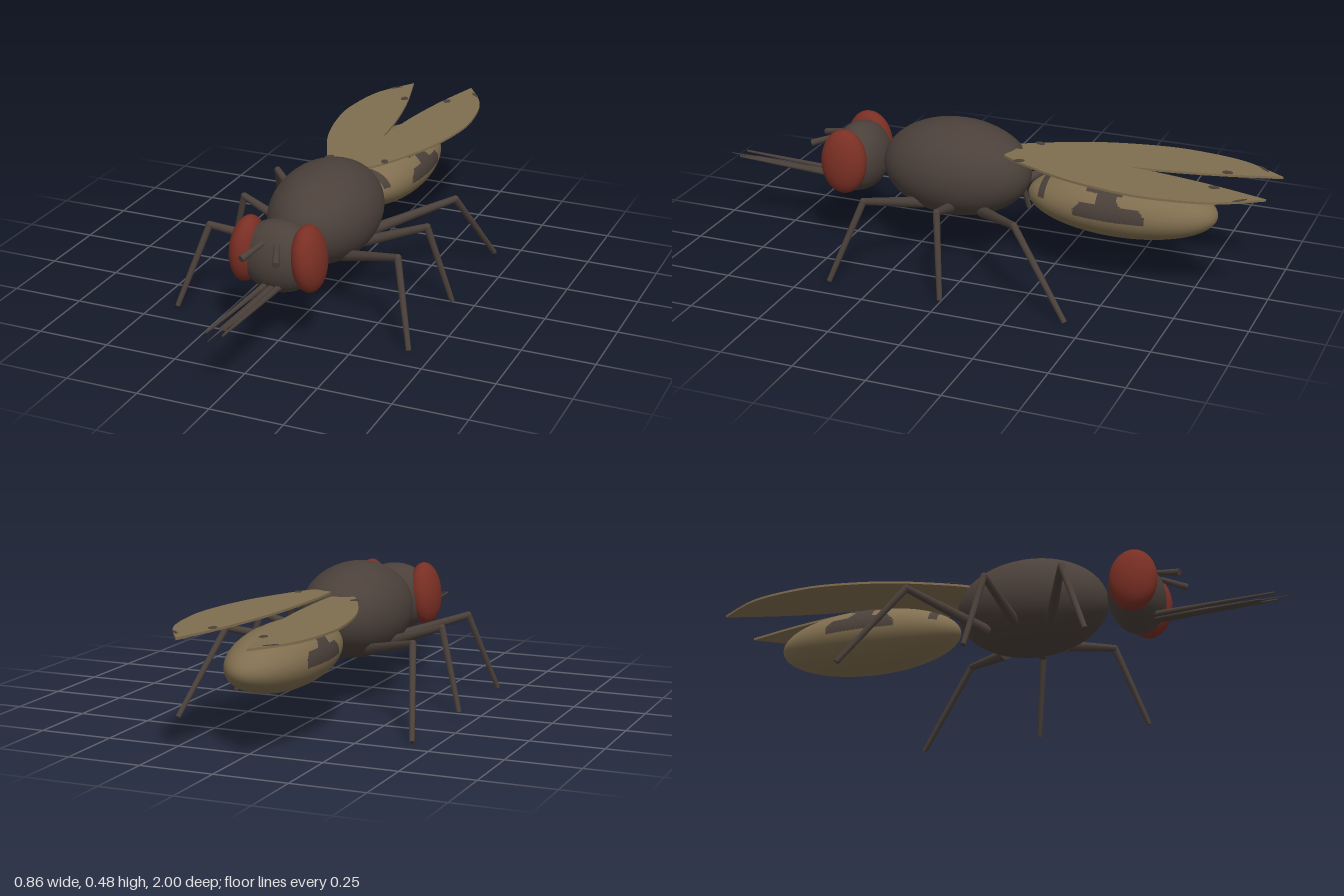
import * as THREE from 'three';

const mat = (name, color, side = THREE.FrontSide) => {
  const m = new THREE.MeshStandardMaterial({ color, side });
  m.name = name;
  return m;
};

export function createModel() {
  const fly = new THREE.Group();
  fly.name = 'fly';
  const dark = mat('dark brown', 0x4b403a);
  const red = mat('eye red', 0x7a2f24);
  const tan = mat('amber tan', 0x806e4f);

  const add = (name, geometry, material, parent = fly) => {
    const mesh = new THREE.Mesh(geometry, material);
    mesh.name = name;
    parent.add(mesh);
    return mesh;
  };
  const ellipsoid = (name, material, pos, radii, w = 40, h = 28) => {
    const g = new THREE.SphereGeometry(1, w, h).rotateX(Math.PI / 2);
    const mesh = add(name, g.scale(...radii), material);
    mesh.position.set(...pos);
    return mesh;
  };
  // Tapered rod between two points
  const rod = (name, a, b, ra, rb, parent = fly, sides = 10) => {
    const p = new THREE.Vector3(...a), q = new THREE.Vector3(...b);
    const d = q.clone().sub(p);
    const mesh = add(name, new THREE.CylinderGeometry(rb, ra, d.length(), sides), dark, parent);
    mesh.position.copy(p).add(q).multiplyScalar(0.5);
    mesh.quaternion.setFromUnitVectors(new THREE.Vector3(0, 1, 0), d.normalize());
    return mesh;
  };

  // Body
  ellipsoid('thorax', dark, [0, 0.312, 0.11], [0.183, 0.167, 0.265]);
  ellipsoid('head', dark, [0, 0.297, 0.478], [0.14, 0.122, 0.097]);
  const abdomen = ellipsoid('abdomen', [tan, dark], [0, 0.265, -0.485], [0.145, 0.107, 0.33], 160, 120);

  // Abdomen side markings: faces sorted into two colour groups
  const inPatch = (a, y) =>
    (a > 0.355 && a < 0.605 && y > 0.255 && y < 0.305 - Math.max(0, Math.abs(a - 0.48) - 0.1)) ||
    (a > 0.435 && a < 0.505 + Math.max(0, 0.32 - y) && y > 0.3 && y < 0.35) ||
    (a > 0.39 && a < 0.52 && y > 0.335 && y < 0.362) ||
    (a > 0.213 && a < 0.24 && y > 0.28 && y < 0.335);
  const g = abdomen.geometry, pos = g.attributes.position, idx = g.index.array;
  const plain = [], marked = [];
  for (let i = 0; i < idx.length; i += 3) {
    const t = [idx[i], idx[i + 1], idx[i + 2]];
    const y = t.reduce((s, v) => s + pos.getY(v), 0) / 3 + 0.265;
    const z = t.reduce((s, v) => s + pos.getZ(v), 0) / 3 - 0.485;
    (inPatch(-z, y) ? marked : plain).push(...t);
  }
  g.setIndex([...plain, ...marked]);
  g.addGroup(0, plain.length, 0);
  g.addGroup(plain.length, marked.length, 1);

  // Right half of the wing outline, in x and -z
  const wingShape = new THREE.Shape();
  wingShape.moveTo(0.005, 0.09);
  wingShape.lineTo(0.075, 0.09);
  wingShape.splineThru([[0.12, 0.17], [0.195, 0.35], [0.235, 0.54], [0.238, 0.68], [0.205, 0.85], [0.118, 1]]
    .map(p => new THREE.Vector2(...p)));
  wingShape.splineThru([[0.065, 0.8], [0.028, 0.6], [0.008, 0.4], [0.001, 0.2], [0.005, 0.09]]
    .map(p => new THREE.Vector2(...p)));
  const flat = (shape, depth) =>
    new THREE.ExtrudeGeometry(shape, { depth, bevelEnabled: false, curveSegments: 24 }).rotateX(-Math.PI / 2);
  const mirrorX = geo => {
    geo.scale(-1, 1, 1);
    const p = geo.attributes.position;
    // Swap two corners of each triangle to keep the faces outward
    for (const attr of [p, geo.attributes.normal]) {
      for (let i = 0; i < attr.count; i += 3) {
        const b = [attr.getX(i + 1), attr.getY(i + 1), attr.getZ(i + 1)];
        attr.setXYZ(i + 1, attr.getX(i + 2), attr.getY(i + 2), attr.getZ(i + 2));
        attr.setXYZ(i + 2, ...b);
      }
    }
    return geo;
  };

  for (const [s, side] of [[1, 'left'], [-1, 'right']]) {
    // Wings with small dark spots
    const wing = new THREE.Group();
    wing.name = side + 'Wing';
    wing.position.y = s > 0 ? 0.4 : 0.386;
    fly.add(wing);
    const put = (name, shape, depth, m, y) => {
      const geo = flat(shape, depth);
      add(name, s < 0 ? mirrorX(geo) : geo, m, wing).position.y = y;
    };
    put('wingBlade', wingShape, 0.008, tan, 0);
    for (const [x, z, rx, rz, turn] of [[0.086, 0.82, 0.013, 0.018, 0], [0.104, 0.155, 0.012, 0.018, 0.4],
      [0.16, 0.925, 0.005, 0.026, 0.75]]) {
      const spot = new THREE.Shape();
      spot.absellipse(x, z, rx, rz, 0, Math.PI * 2, false, turn);
      put('wingSpot', spot, 0.002, dark, 0.0075);
    }

    // Eyes and antennae
    const eye = ellipsoid(side + 'Eye', red, [s * 0.109, 0.311, 0.492], [0.055, 0.114, 0.083]);
    eye.rotation.z = s * 0.08;
    rod(side + 'Antenna', [s * 0.025, 0.367, 0.555], [s * 0.06, 0.34, 0.64], 0.009, 0.012);

    // Mouth stylets
    rod('outerStylet', [s * 0.024, 0.215, 0.53], [s * 0.028, 0.232, 0.948], 0.011, 0.004, fly, 8);
    rod('innerStylet', [s * 0.011, 0.206, 0.53], [s * 0.008, 0.224, 0.9], 0.008, 0.003, fly, 8);

    // Legs: hip, knee and foot
    const legs = {
      FrontLeg: [[0.1, 0.2, 0.2], [0.34, 0.28, 0.31], [0.42, 0.006, 0.407]],
      MiddleLeg: [[0.1, 0.2, 0.09], [0.34, 0.283, 0.045], [0.42, 0.006, 0.003]],
      RearLeg: [[0.1, 0.2, -0.02], [0.34, 0.28, -0.228], [0.42, 0.006, -0.435]],
    };
    for (const [name, points] of Object.entries(legs)) {
      const leg = new THREE.Group();
      leg.name = side + name;
      fly.add(leg);
      const [hip, knee, foot] = points.map(([x, y, z]) => [s * x, y, z]);
      rod('upperLeg', hip, knee, 0.02, 0.012, leg);
      rod('lowerLeg', knee, foot, 0.012, 0.009, leg);
      const joint = add('knee', new THREE.SphereGeometry(0.0125, 10, 8), dark, leg);
      joint.position.set(...knee);
    }
  }

  // Central needle
  rod('proboscis', [0, 0.21, 0.53], [0, 0.228, 0.995], 0.013, 0.001);
  return fly;
}
